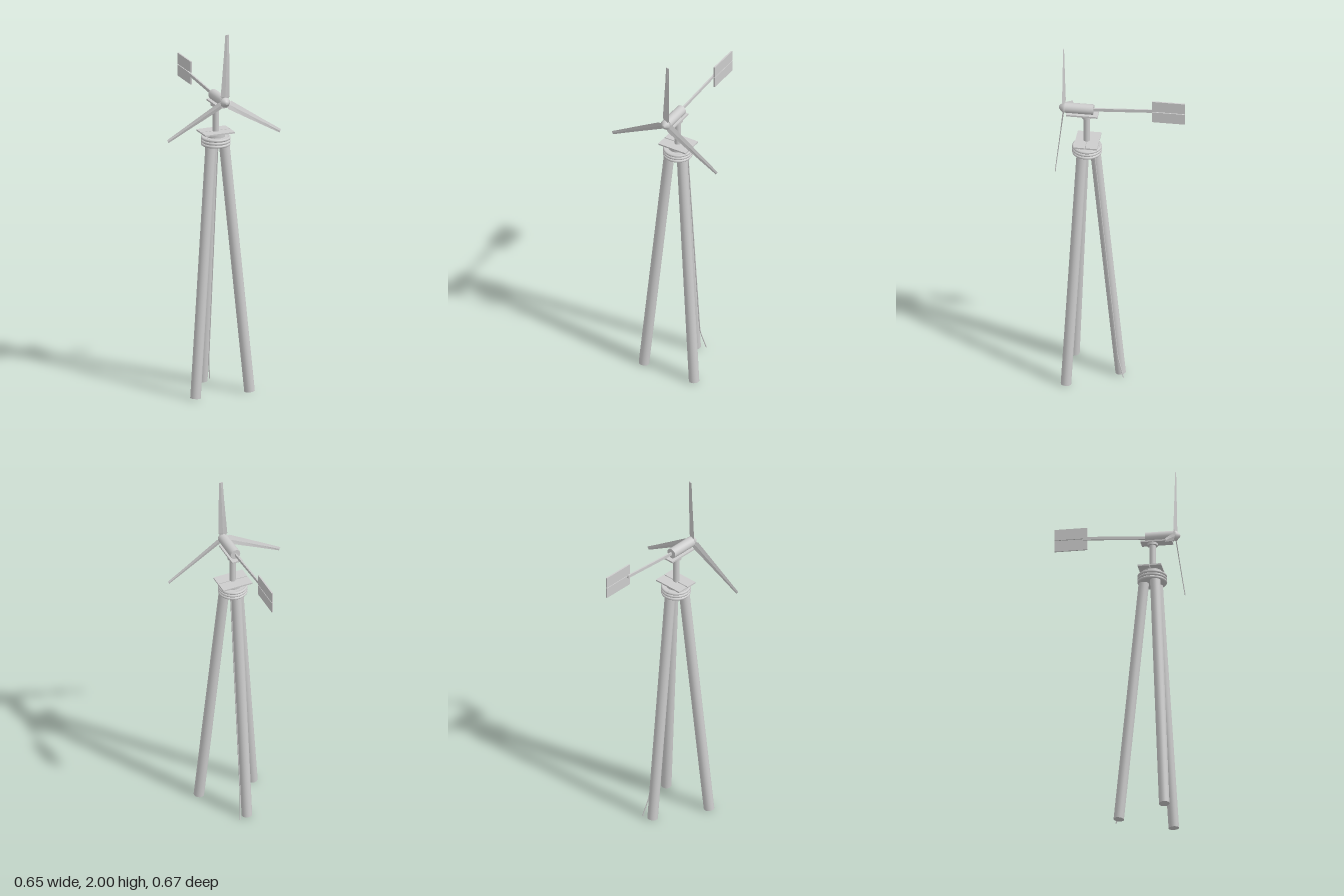
import * as THREE from 'three';

const AX = 0.004, AZ = 0.186;      // tower axis
const ROTOR_Y = 1.628;

export function createModel() {
  const model = new THREE.Group();
  model.name = 'windTurbine';
  const grey = new THREE.MeshStandardMaterial({ color: 0xcccccc });
  grey.name = 'paintedGrey';

  function add(name, geometry, x = 0, y = 0, z = 0, parent = model) {
    const mesh = new THREE.Mesh(geometry, grey);
    mesh.name = name;
    mesh.position.set(x, y, z);
    parent.add(mesh);
    return mesh;
  }

  // Cylinder running between two points
  function rod(name, a, b, radius, sides = 16) {
    const dir = b.clone().sub(a);
    const mesh = add(name, new THREE.CylinderGeometry(radius, radius, dir.length(), sides));
    mesh.position.copy(a).add(b).multiplyScalar(0.5);
    mesh.quaternion.setFromUnitVectors(new THREE.Vector3(0, 1, 0), dir.normalize());
    return mesh;
  }

  // Three leaning legs, one at the back and two at the front
  ['backLeg', 'leftLeg', 'rightLeg'].forEach((name, i) => {
    const angle = Math.PI + i * Math.PI * 2 / 3;
    const at = (r, y) => new THREE.Vector3(AX - Math.sin(angle) * r, y, AZ + Math.cos(angle) * r);
    rod(name, at(0.179, 0.003), at(0.041, 1.405), 0.028);
  });

  // Cable running down the back leg and splaying out at the foot
  const cable = new THREE.CurvePath();
  const bend = new THREE.Vector3(0.037, 0.12, 0.018);
  cable.add(new THREE.LineCurve3(new THREE.Vector3(0.055, 0.002, -0.016), bend));
  cable.add(new THREE.LineCurve3(bend, new THREE.Vector3(0.037, 1.38, 0.143)));
  add('cable', new THREE.TubeGeometry(cable, 40, 0.003, 8));

  // Stacked clamp hoops around the leg tops
  add('clampCore', new THREE.CylinderGeometry(0.07, 0.07, 0.046, 32), AX, 1.384, AZ);
  for (let i = 0; i < 3; i++) {
    const hoop = add('clampHoop', new THREE.TorusGeometry(0.071, 0.008, 10, 40), AX, 1.367 + i * 0.0165, AZ);
    hoop.rotation.x = Math.PI / 2;
  }

  // Platform of two planks on a small spacer
  add('platformSpacer', new THREE.CylinderGeometry(0.05, 0.05, 0.024, 24), AX, 1.417, AZ);
  for (const side of [-1, 1]) {
    add('platformPlank', new THREE.BoxGeometry(0.168, 0.008, 0.061), AX, 1.432, AZ - 0.002 + side * 0.0325);
  }

  // Mast, collar and nacelle saddle
  add('mast', new THREE.CylinderGeometry(0.017, 0.017, 0.18, 20), AX, 1.505, AZ + 0.002);
  add('mastCollar', new THREE.CylinderGeometry(0.028, 0.028, 0.012, 24), AX, 1.584, AZ + 0.002);
  add('saddlePlate', new THREE.BoxGeometry(0.058, 0.009, 0.168), AX, 1.5955, 0.211);

  // Nacelle
  const nacelle = add('nacelle', new THREE.CylinderGeometry(0.028, 0.028, 0.152, 24), AX, ROTOR_Y, 0.227);
  nacelle.rotation.x = Math.PI / 2;

  // Tail boom and two vane panels
  const boom = add('tailBoom', new THREE.BoxGeometry(0.008, 0.017, 0.34), AX, 1.638, -0.014);
  boom.rotation.x = Math.atan2(0.022, 0.34);
  for (const side of [-1, 1]) {
    add('vanePanel', new THREE.BoxGeometry(0.008, 0.061, 0.175), 0.014, 1.6505 + side * 0.0325, -0.25);
  }

  // Rotor hub with a conical nose
  const rotor = new THREE.Group();
  rotor.name = 'rotor';
  rotor.position.set(AX, ROTOR_Y, 0.309);
  model.add(rotor);
  const hubProfile = [[0, -0.008], [0.027, -0.008], [0.027, 0.006], [0.009, 0.024], [0.006, 0.026], [0, 0.026]]
    .map(([r, h]) => new THREE.Vector2(r, h));
  const hub = add('hub', new THREE.LatheGeometry(hubProfile, 24), 0, 0, 0, rotor);
  hub.rotation.x = Math.PI / 2;

  // Tapered, twisted blades: each row is radius, trailing x, leading x, edge depth
  const stations = [
    [0.012, -0.006, 0.010, 0.004],
    [0.032, -0.022, 0.024, 0.007],
    [0.14, -0.014, 0.024, 0.005],
    [0.26, -0.005, 0.023, 0.003],
    [0.372, 0.002, 0.022, 0.001],
  ];
  const points = [], faces = [];
  for (const [r, x0, x1, d] of stations) {
    const mid = (x0 + x1) / 2, t = 0.0025;
    points.push(x0, r, -d, mid, r, -t, x1, r, d, mid, r, t);
  }
  for (let s = 0; s < stations.length - 1; s++) {
    for (let k = 0; k < 4; k++) {
      const a = s * 4 + k, b = s * 4 + (k + 1) % 4;
      faces.push(a, a + 4, b, b, a + 4, b + 4);
    }
  }
  const end = points.length / 3 - 4;
  faces.push(0, 1, 2, 0, 2, 3, end, end + 2, end + 1, end, end + 3, end + 2);
  let blade = new THREE.BufferGeometry();
  blade.setAttribute('position', new THREE.Float32BufferAttribute(points, 3));
  blade.setIndex(faces);
  blade = blade.toNonIndexed();
  blade.computeVertexNormals();
  for (let i = 0; i < 3; i++) {
    add('blade', blade, 0, 0, 0, rotor).rotation.z = i * Math.PI * 2 / 3;
  }

  return model;
}
